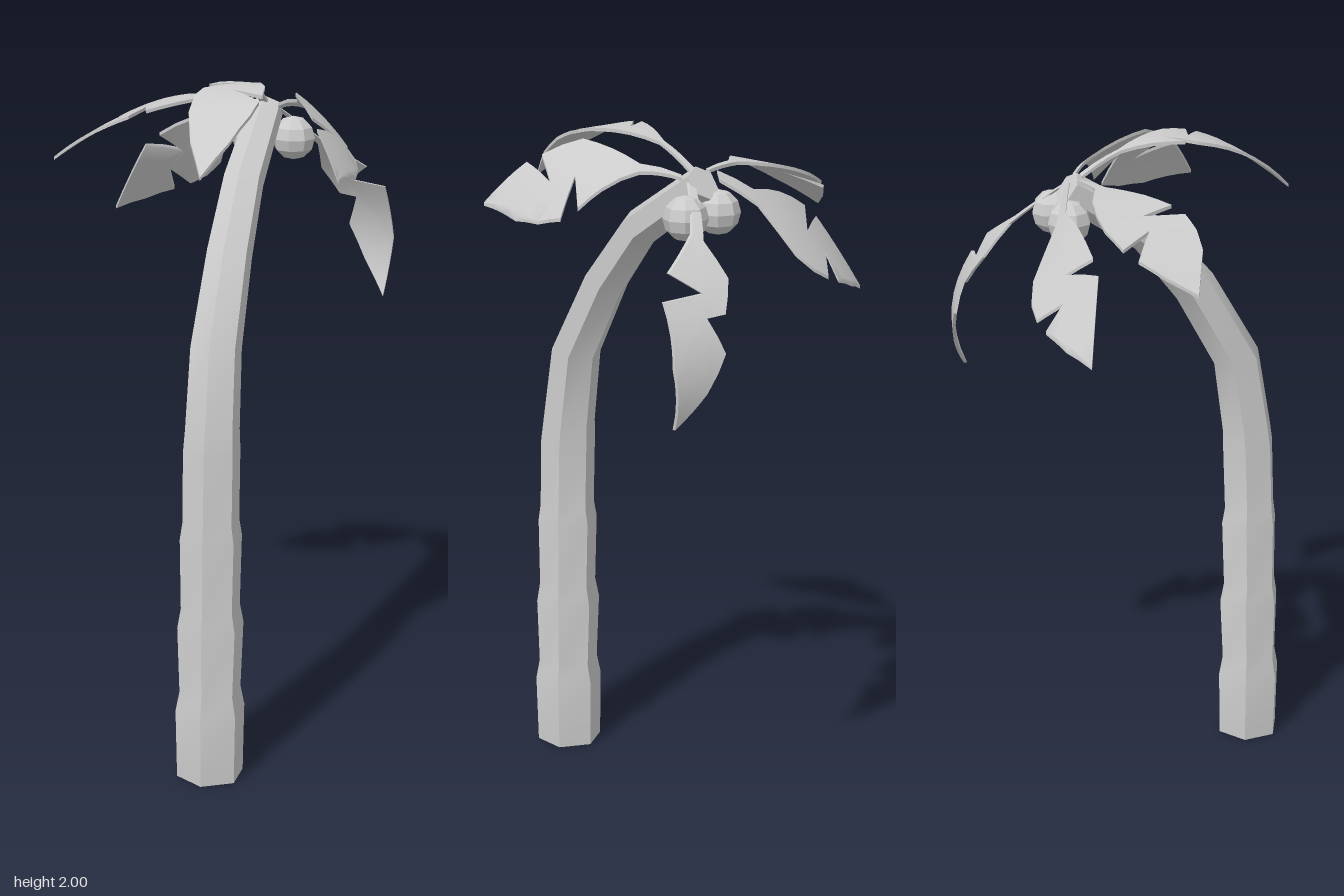
import * as THREE from 'three';
import { toCreasedNormals } from 'three/addons/utils/BufferGeometryUtils.js';

const material = new THREE.MeshStandardMaterial({ color: 0xcccccc });
const flat = new THREE.MeshStandardMaterial({ color: 0xcccccc, flatShading: true });

function addMesh(group, name, geometry, mat = material) {
  const mesh = new THREE.Mesh(geometry, mat);
  mesh.name = name;
  group.add(mesh);
  return mesh;
}

// Trunk rings: height, z, radius, backward lean
const RINGS = [
  [0, 0.39, 0.1, 0], [0.21, 0.39, 0.104, 0], [0.27, 0.39, 0.092, 0],
  [0.47, 0.386, 0.099, 0], [0.53, 0.387, 0.088, 0], [0.74, 0.382, 0.092, 0],
  [0.79, 0.383, 0.084, 0], [1.0, 0.374, 0.084, 0.03], [1.06, 0.368, 0.08, 0.08],
  [1.29, 0.33, 0.075, 0.2], [1.53, 0.19, 0.067, 0.5], [1.71, 0.04, 0.06, 0.75],
  [1.875, -0.215, 0.052, 0.95],
];

function trunkGeometry() {
  const n = RINGS.length - 1;
  const geo = new THREE.CylinderGeometry(1, 1, 1, 6, n);
  const p = geo.attributes.position;
  for (let i = 0; i < p.count; i++) {
    const [y, z, r, lean] = RINGS[Math.round((p.getY(i) + 0.5) * n)];
    const d = p.getZ(i) * r;
    p.setXYZ(i, 0.13 + p.getX(i) * r, y + d * Math.sin(lean), z + d * Math.cos(lean));
  }
  return toCreasedNormals(geo, 0.6);
}

// Halve the longest edge until every triangle is small enough to bend smoothly
function subdivide(a, b, c, max, out) {
  const ab = a.distanceTo(b), bc = b.distanceTo(c), ca = c.distanceTo(a);
  const longest = Math.max(ab, bc, ca);
  if (longest < max) { out.push(a, b, c); return; }
  if (longest === bc) [a, b, c] = [b, c, a];
  else if (longest === ca) [a, b, c] = [c, a, b];
  const m = a.clone().add(b).multiplyScalar(0.5);
  subdivide(a, m, c, max, out);
  subdivide(m, b, c, max, out);
}

// Thin plate with a notched outline, bent by place(u, v, depth)
function leafGeometry(outline, place) {
  const shape = new THREE.Shape(outline.map(([u, v]) => new THREE.Vector2(u, v)));
  const plate = new THREE.ExtrudeGeometry(shape, { depth: 0.01, bevelEnabled: false });
  const p = plate.attributes.position;
  const at = (i) => new THREE.Vector3().fromBufferAttribute(p, i);
  const points = [];
  for (let i = 0; i < p.count; i += 3) subdivide(at(i), at(i + 1), at(i + 2), 0.06, points);
  const geo = new THREE.BufferGeometry().setFromPoints(
    points.map((q) => new THREE.Vector3(...place(q.x, q.y, q.z))));
  return toCreasedNormals(geo, 0.6);
}

// Leaf drawn in plan (x, z) with its height given by a rule
const overPlan = (height) => (x, z, w) => [x, height(x, z) - w, z];

const LEAVES = {
  frontLeaf: [
    [[0.12, -0.2], [0.122, -0.05], [0.05, 0.12], [0.13, 0.08], [0.045, 0.16], [0.036, 0.21],
      [0.042, 0.3], [0.075, 0.4], [0.13, 0.495], [0.185, 0.4], [0.218, 0.3], [0.225, 0.235],
      [0.13, 0.165], [0.225, 0.2], [0.212, 0.12], [0.14, -0.05], [0.145, -0.2]],
    overPlan((x, z) => 1.998 - 1.2 * (z - 0.1) ** 2),
  ],
  rightFrontLeaf: [
    [[0.09, -0.2], [-0.03, -0.192], [-0.12, -0.238], [-0.195, -0.255], [-0.26, -0.257],
      [-0.335, -0.235], [-0.28, -0.135], [-0.375, -0.207], [-0.435, -0.15], [-0.49, -0.08],
      [-0.365, -0.012], [-0.295, 0], [-0.23, -0.005], [-0.218, -0.13], [-0.182, -0.025],
      [-0.115, -0.075], [-0.025, -0.16], [0.09, -0.185]],
    overPlan((x) => 1.912 - 0.8 * x * x),
  ],
  rightBackLeaf: [
    [[0.085, -0.225], [-0.01, -0.275], [-0.22, -0.277], [-0.165, -0.34], [-0.265, -0.28],
      [-0.385, -0.35], [-0.3, -0.392], [-0.215, -0.418], [-0.215, -0.365], [-0.165, -0.425],
      [-0.11, -0.42], [-0.06, -0.395], [0, -0.3], [0.09, -0.24]],
    overPlan((x, z) => 1.84 - 1.5 * x * x + 1.4 * (z + 0.28)),
  ],
  leftFrontLeaf: [
    [[0.18, -0.185], [0.27, -0.105], [0.36, -0.05], [0.42, -0.015], [0.375, 0.045],
      [0.452, 0.022], [0.476, 0.09], [0.487, 0.175], [0.473, 0.33], [0.39, 0.235],
      [0.41, 0.11], [0.367, 0.195], [0.295, 0.1], [0.253, -0.09], [0.175, -0.175]],
    overPlan((x, z) => {
      const a = x - 0.19, b = z + 0.17;
      return 1.9 - 2.4 * a * a - 0.2 * a + 0.7 * b - 0.85 * b * b;
    }),
  ],
  // Steep leaf, drawn in elevation (x, y) with its depth given by a rule
  leftBackLeaf: [
    [[0.175, 1.88], [0.275, 1.768], [0.405, 1.685], [0.34, 1.63], [0.455, 1.62],
      [0.474, 1.45], [0.45, 1.27], [0.38, 1.37], [0.325, 1.475], [0.355, 1.57],
      [0.3, 1.575], [0.25, 1.66], [0.258, 1.75], [0.17, 1.865]],
    (x, y, w) => {
      const d = 1.87 - y;
      return [x, y, -0.22 + 0.32 * (x - 0.175) - 1.49 * d + 1.64 * d * d + w];
    },
  ],
};

export function createModel() {
  const group = new THREE.Group();
  group.name = 'palmTree';

  addMesh(group, 'trunk', trunkGeometry());

  for (const [name, [outline, place]] of Object.entries(LEAVES)) {
    addMesh(group, name, leafGeometry(outline, place));
  }

  // Pair of coconuts under the crown
  for (const [name, x] of [['rightCoconut', 0.084], ['leftCoconut', 0.21]]) {
    addMesh(group, name, new THREE.SphereGeometry(0.065, 8, 6), flat).position.set(x, 1.788, -0.228);
  }
  return group;
}
